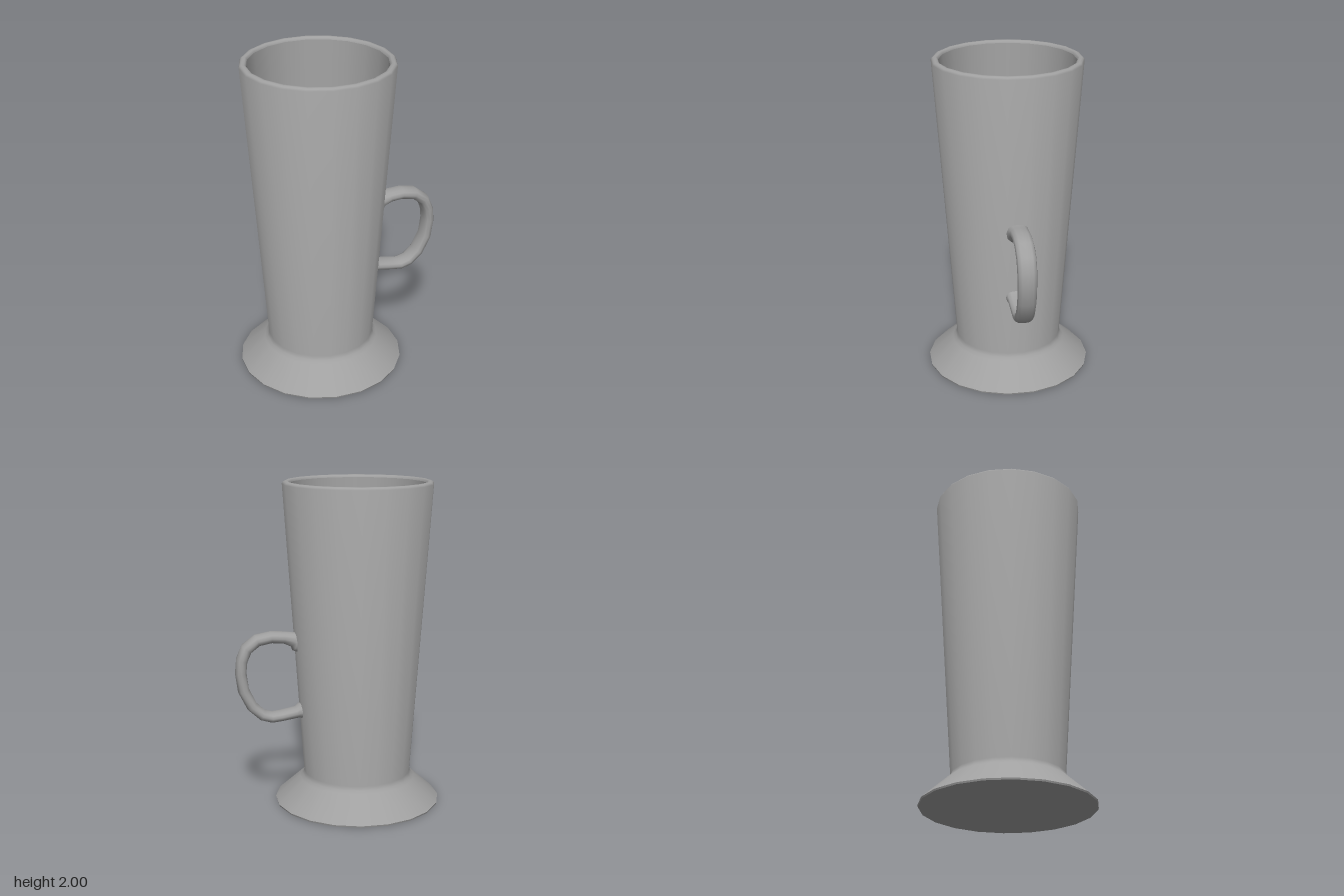
import * as THREE from 'three';
import { toCreasedNormals } from 'three/addons/utils/BufferGeometryUtils.js';

const SIDES = 20;
const AXIS_X = -0.127; // the cup sits off centre to make room for the handle

// Revolve a list of [radius, height] points, with a flat facing each axis
function revolve(points) {
  const profile = points.map(([r, y]) => new THREE.Vector2(r, y));
  return new THREE.LatheGeometry(profile, SIDES, Math.PI / SIDES);
}

// Outside: underside, flared foot, tapering wall and bevelled rim
function shellGeometry() {
  const geometry = revolve([
    [0, 0], [0.512, 0], [0.515, 0.01], [0.5, 0.024],
    [0.36, 0.15], [0.343, 0.166], [0.333, 0.19],
    [0.455, 1.984], [0.448, 1.995], [0.438, 2], [0.424, 2], [0.416, 1.995], [0.412, 1.984],
  ]);
  return toCreasedNormals(geometry, THREE.MathUtils.degToRad(50));
}

// Inside: wall blending softly into the floor
function liningGeometry() {
  return revolve([[0.412, 1.984], [0.31, 0.36], [0.295, 0.235], [0.265, 0.2], [0, 0.19]]);
}

// Handle: rounded, flattened rings swept along a path in the xy plane
function handleGeometry() {
  // x, y, half thickness, half width
  const stations = [
    [0.242, 1.033, 0.065, 0.07], [0.258, 1.036, 0.062, 0.068], [0.275, 1.045, 0.044, 0.062],
    [0.33, 1.06, 0.035, 0.058], [0.41, 1.066, 0.034, 0.058], [0.495, 1.05, 0.035, 0.058],
    [0.56, 1.0, 0.036, 0.058], [0.59, 0.93, 0.035, 0.058], [0.598, 0.85, 0.035, 0.057],
    [0.583, 0.74, 0.035, 0.057], [0.533, 0.637, 0.034, 0.057], [0.47, 0.578, 0.032, 0.057],
    [0.41, 0.56, 0.031, 0.057], [0.35, 0.567, 0.031, 0.057],
    [0.256, 0.584, 0.032, 0.059], [0.233, 0.592, 0.044, 0.066], [0.21, 0.596, 0.046, 0.068],
  ];
  const ring = 12;
  const soften = (v) => Math.sign(v) * Math.abs(v) ** 0.8;
  const positions = [];
  const index = [];
  stations.forEach(([x, y, thick, wide], i) => {
    const a = stations[Math.max(i - 1, 0)];
    const b = stations[Math.min(i + 1, stations.length - 1)];
    const tangent = new THREE.Vector2(b[0] - a[0], b[1] - a[1]).normalize();
    for (let j = 0; j < ring; j++) {
      const angle = (j / ring) * Math.PI * 2;
      const n = soften(Math.cos(angle)) * thick;
      positions.push(x - tangent.y * n, y + tangent.x * n, soften(Math.sin(angle)) * wide);
      if (i < stations.length - 1) {
        const p = i * ring + j;
        const q = i * ring + (j + 1) % ring;
        index.push(p, q, p + ring, q, q + ring, p + ring);
      }
    }
  });
  const geometry = new THREE.BufferGeometry();
  geometry.setAttribute('position', new THREE.Float32BufferAttribute(positions, 3));
  geometry.setIndex(index);
  geometry.computeVertexNormals();
  return geometry;
}

export function createModel() {
  const group = new THREE.Group();
  group.name = 'footedMug';
  const material = new THREE.MeshStandardMaterial({ color: 0xa0a0a0 });

  const addPart = (name, geometry, x) => {
    const mesh = new THREE.Mesh(geometry, material);
    mesh.name = name;
    mesh.position.x = x;
    group.add(mesh);
  };

  addPart('cupShell', shellGeometry(), AXIS_X);
  addPart('cupLining', liningGeometry(), AXIS_X);
  addPart('handle', handleGeometry(), 0);
  return group;
}
